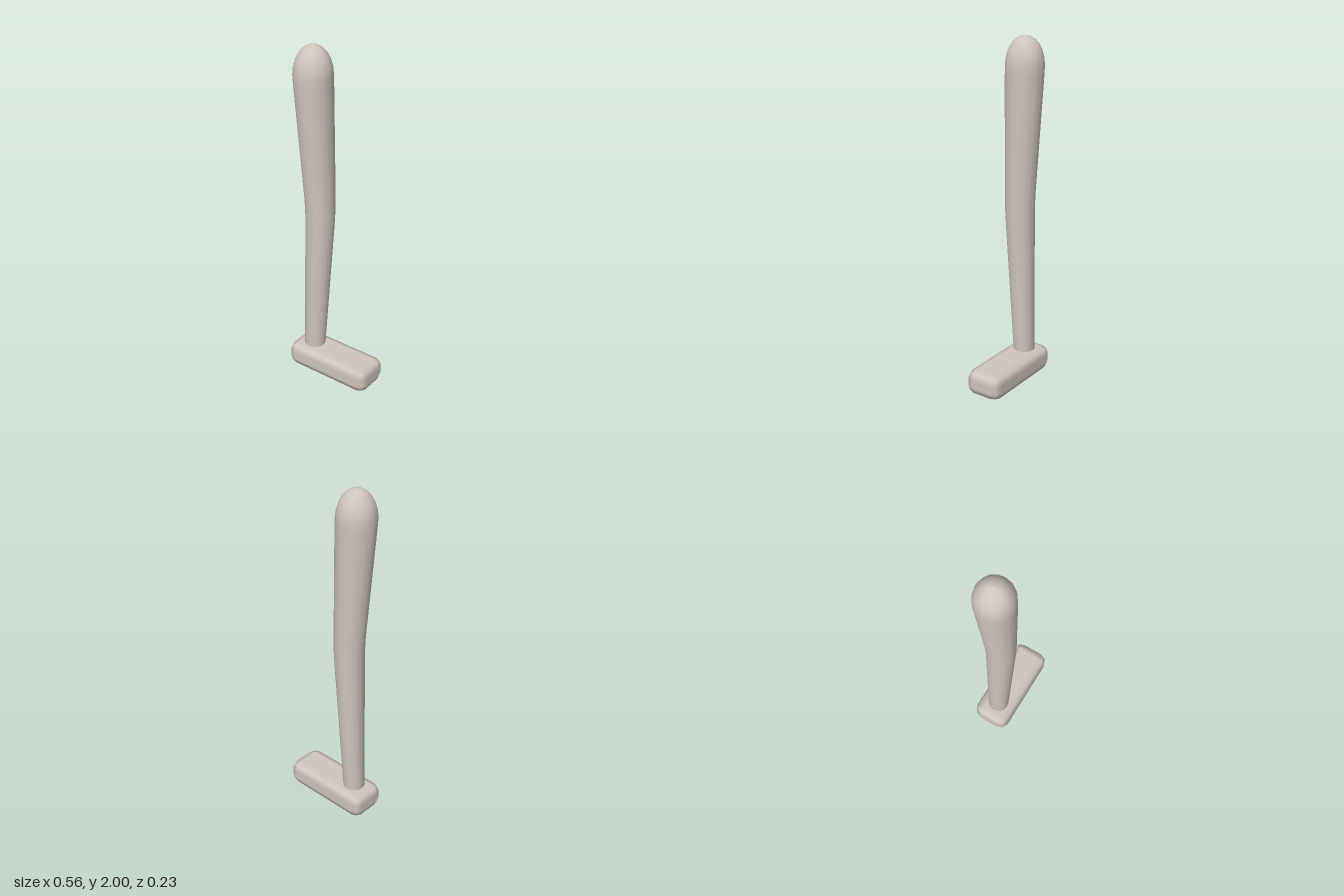
import * as THREE from 'three';
import { RoundedBoxGeometry } from 'three/addons/geometries/RoundedBoxGeometry.js';

export function createModel() {
  const model = new THREE.Group();
  const material = new THREE.MeshStandardMaterial({ color: 0xd0c5bc });

  // Foot: flat block with rounded edges
  const foot = new THREE.Mesh(new RoundedBoxGeometry(0.556, 0.15, 0.226, 1, 0.052), material);
  foot.name = 'foot';
  foot.position.y = 0.075;
  model.add(foot);

  // Leg profile: tapered shaft rows [radius, height], then a domed top
  const rows = [[0, 0.1], [0.061, 0.1], [0.063, 0.15], [0.083, 0.95], [0.085, 1.04], [0.087, 1.13], [0.108, 1.78]];
  const profile = rows.map(([r, y]) => new THREE.Vector2(r, y));
  const domeBase = 1.84, domeRadius = 0.109, domeSteps = 6;
  for (let i = 0; i <= domeSteps; i++) {
    const a = (i / domeSteps) * Math.PI / 2;
    profile.push(new THREE.Vector2(
      i === domeSteps ? 0 : domeRadius * Math.cos(a),
      domeBase + (2 - domeBase) * Math.sin(a)));
  }
  const legGeometry = new THREE.LatheGeometry(profile, 16);

  // Bend at the knee: shift each ring sideways along a centre line [height, x]
  const centreLine = [[0.1, -0.155], [0.95, -0.109], [1.04, -0.105], [1.13, -0.106], [1.84, -0.145], [2, -0.145]];
  const centreAt = (y) => {
    for (let i = 1; i < centreLine.length; i++) {
      const [y0, x0] = centreLine[i - 1], [y1, x1] = centreLine[i];
      if (y <= y1) return THREE.MathUtils.mapLinear(y, y0, y1, x0, x1);
    }
    return centreLine.at(-1)[1];
  };
  const position = legGeometry.attributes.position;
  for (let i = 0; i < position.count; i++) {
    position.setX(i, position.getX(i) + centreAt(position.getY(i)));
  }
  const leg = new THREE.Mesh(legGeometry, material);
  leg.name = 'leg';
  model.add(leg);

  return model;
}
